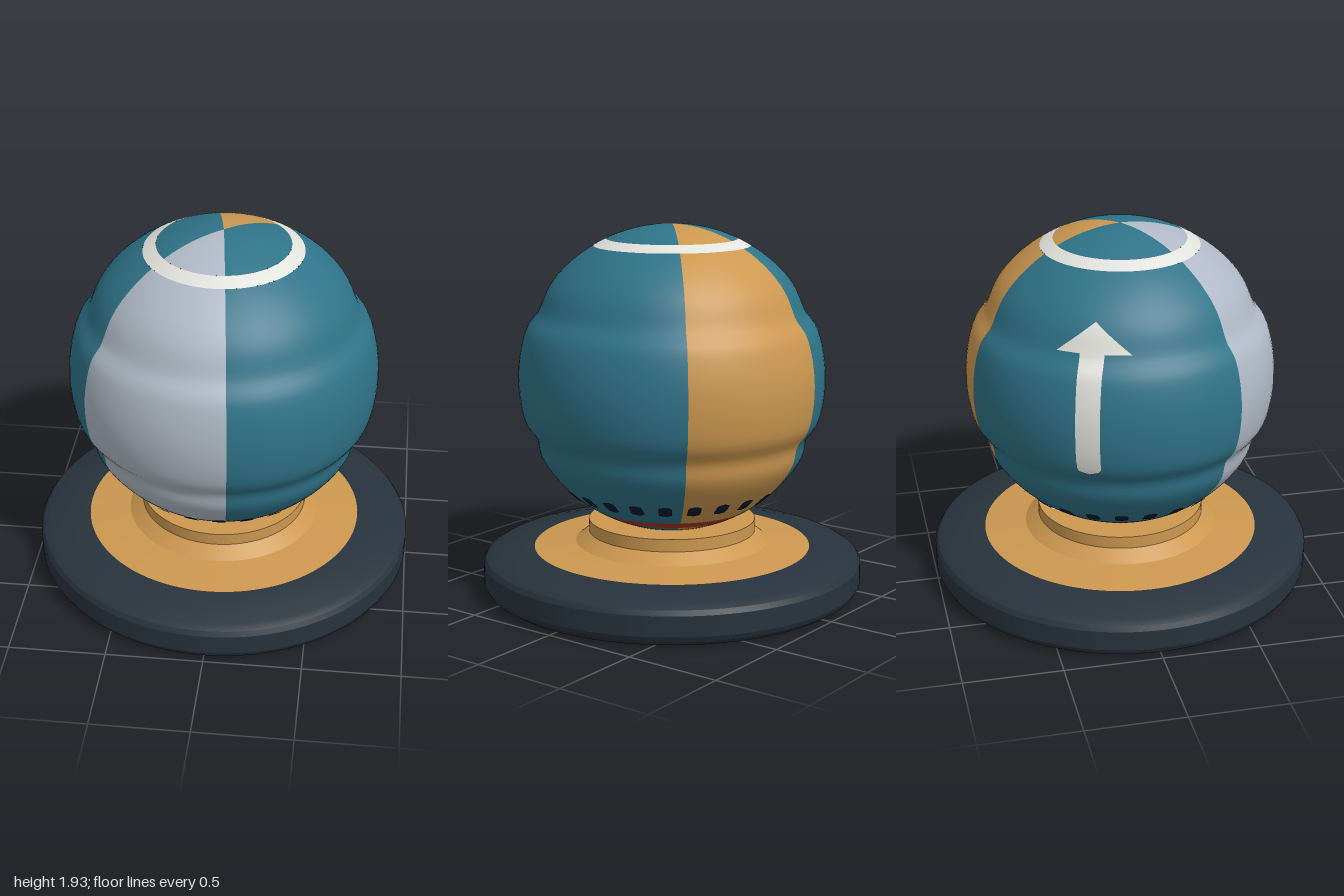
import * as THREE from 'three';
import { toCreasedNormals } from 'three/addons/utils/BufferGeometryUtils.js';

const paint = (name, color) => {
  const m = new THREE.MeshStandardMaterial({ color });
  m.name = name;
  return m;
};
const rad = THREE.MathUtils.degToRad;

// Ball radius at height y: a sphere with two soft latitude grooves
const CENTER = 1.135, RADIUS = 0.8;
function ballRadius(y) {
  const d = y - CENTER;
  const groove = (at, depth, below, above) => {
    const k = (y - at) / (y < at ? below : above);
    return depth * Math.exp(-k * k);
  };
  const r = Math.sqrt(Math.max(0, RADIUS * RADIUS - d * d));
  return Math.max(0, r - groove(1.485, 0.028, 0.05, 0.11) - groove(0.83, 0.03, 0.07, 0.055));
}

// Point on the ball, angle measured from the front (+z) towards +x
function ballPoint(angle, y, lift) {
  const r = ballRadius(y) + lift * 0.8;
  return [r * Math.sin(angle), y + lift * 0.6 * Math.sign(y - CENTER), r * Math.cos(angle)];
}

// Part of the ball between two heights and two angles (degrees)
function ballBand(y0, y1, from, to) {
  const polar = (y) => Math.acos(THREE.MathUtils.clamp((CENTER - y) / RADIUS, -1, 1));
  const a0 = polar(y0), a1 = polar(y1);
  const n = Math.max(3, Math.ceil((a1 - a0) * 26));
  const points = [];
  for (let i = 0; i <= n; i++) {
    const y = CENTER - RADIUS * Math.cos(a0 + ((a1 - a0) * i) / n);
    points.push(new THREE.Vector2(ballRadius(y), y));
  }
  return new THREE.LatheGeometry(points, Math.ceil((to - from) / 4), rad(from), rad(to - from));
}

// Thin painted patch wrapped on the ball; halfWidth(t) runs from bottom to top
function ballPatch(angle, y0, y1, halfWidth, rows, cols) {
  const pos = [], index = [];
  for (let i = 0; i <= rows; i++) {
    const t = i / rows, y = y0 + (y1 - y0) * t;
    for (let j = 0; j <= cols; j++) {
      const across = halfWidth(t) * ((2 * j) / cols - 1);
      pos.push(...ballPoint(angle + across / ballRadius(y), y, 0.005));
      if (i < rows && j < cols) {
        const a = i * (cols + 1) + j, b = a + cols + 1;
        index.push(a, a + 1, b, a + 1, b + 1, b);
      }
    }
  }
  const g = new THREE.BufferGeometry();
  g.setAttribute('position', new THREE.Float32BufferAttribute(pos, 3));
  g.setIndex(index);
  g.computeVertexNormals();
  return g;
}

const turned = (profile) =>
  toCreasedNormals(new THREE.LatheGeometry(profile.map((p) => new THREE.Vector2(...p)), 96), 0.45);

export function createModel() {
  const teal = paint('teal', 0x2f7388);
  const silver = paint('silver grey', 0xb0bac6);
  const ochre = paint('ochre', 0xcc9850);
  const slate = paint('dark slate', 0x27333d);
  const white = paint('off white', 0xe2e3dd);
  const navy = paint('navy', 0x0b1a30);
  const red = paint('rust red', 0xa83420);

  const model = new THREE.Group();
  const add = (parent, name, geometry, material) => {
    const mesh = new THREE.Mesh(geometry, material);
    mesh.name = name;
    parent.add(mesh);
  };

  // Base: slate foot with a chamfered rim, ochre stepped collar
  const base = new THREE.Group();
  base.name = 'base';
  model.add(base);
  add(base, 'foot', turned([[0.94, 0], [0.985, 0.03], [1, 0.06], [1, 0.165], [0.985, 0.19], [0.95, 0.21], [0.73, 0.235]]), slate);
  add(base, 'collar', turned([[0.73, 0.235], [0.51, 0.26], [0.44, 0.315], [0.44, 0.38], [0, 0.38]]), ochre);

  // Underside, with an ochre segment along the back
  const chord = Math.asin(0.49 / 0.94);
  const underside = (name, from, to, material) => {
    const shape = new THREE.Shape().absarc(0, 0, 0.94, from, to, false);
    add(base, name, new THREE.ShapeGeometry(shape, 48).rotateX(Math.PI / 2), material);
  };
  underside('underside', -chord, Math.PI + chord, slate);
  underside('undersideSegment', Math.PI + chord, 2 * Math.PI - chord, ochre);

  // Ball: coloured sectors, interrupted by a red band and a white ring
  const ball = new THREE.Group();
  ball.name = 'ball';
  model.add(ball);
  const sectors = [
    ['silverPanel', -54, 7, silver],
    ['rightTealPanel', 7, 132.5, teal],
    ['ochrePanel', 132.5, 190.4, ochre],
    ['leftTealPanel', 190.4, 306, teal],
  ];
  const bands = [
    ['Bottom', CENTER - RADIUS, 0.415],
    ['Side', 0.46, 1.825],
    ['Cap', 1.86, CENTER + RADIUS],
  ];
  for (const [name, from, to, material] of sectors)
    for (const [band, y0, y1] of bands) add(ball, name + band, ballBand(y0, y1, from, to), material);
  add(ball, 'redBand', ballBand(0.415, 0.46, 0, 360), red);
  add(ball, 'whiteRing', ballBand(1.825, 1.86, 0, 360), white);

  // Ring of rounded slots low on the ball
  const slotWidth = (t) => 0.034 * Math.pow(Math.max(0, 1 - Math.pow(Math.abs(2 * t - 1), 4)), 0.3);
  for (let i = 0; i < 24; i++)
    add(ball, 'slot', ballPatch(rad(3.5 + i * 15), 0.525, 0.59, slotWidth, 10, 4), navy);

  // Upward arrow on the side
  const arrow = new THREE.Group();
  arrow.name = 'arrow';
  ball.add(arrow);
  const shaftWidth = (t) => 0.06 * Math.sqrt(1 - Math.pow(Math.max(0, 1 - t / 0.06), 2));
  add(arrow, 'arrowShaft', ballPatch(rad(246.5), 0.91, 1.51, shaftWidth, 40, 6), white);
  add(arrow, 'arrowHead', ballPatch(rad(247), 1.505, 1.645, (t) => 0.185 * (1 - t), 14, 12), white);

  return model;
}
